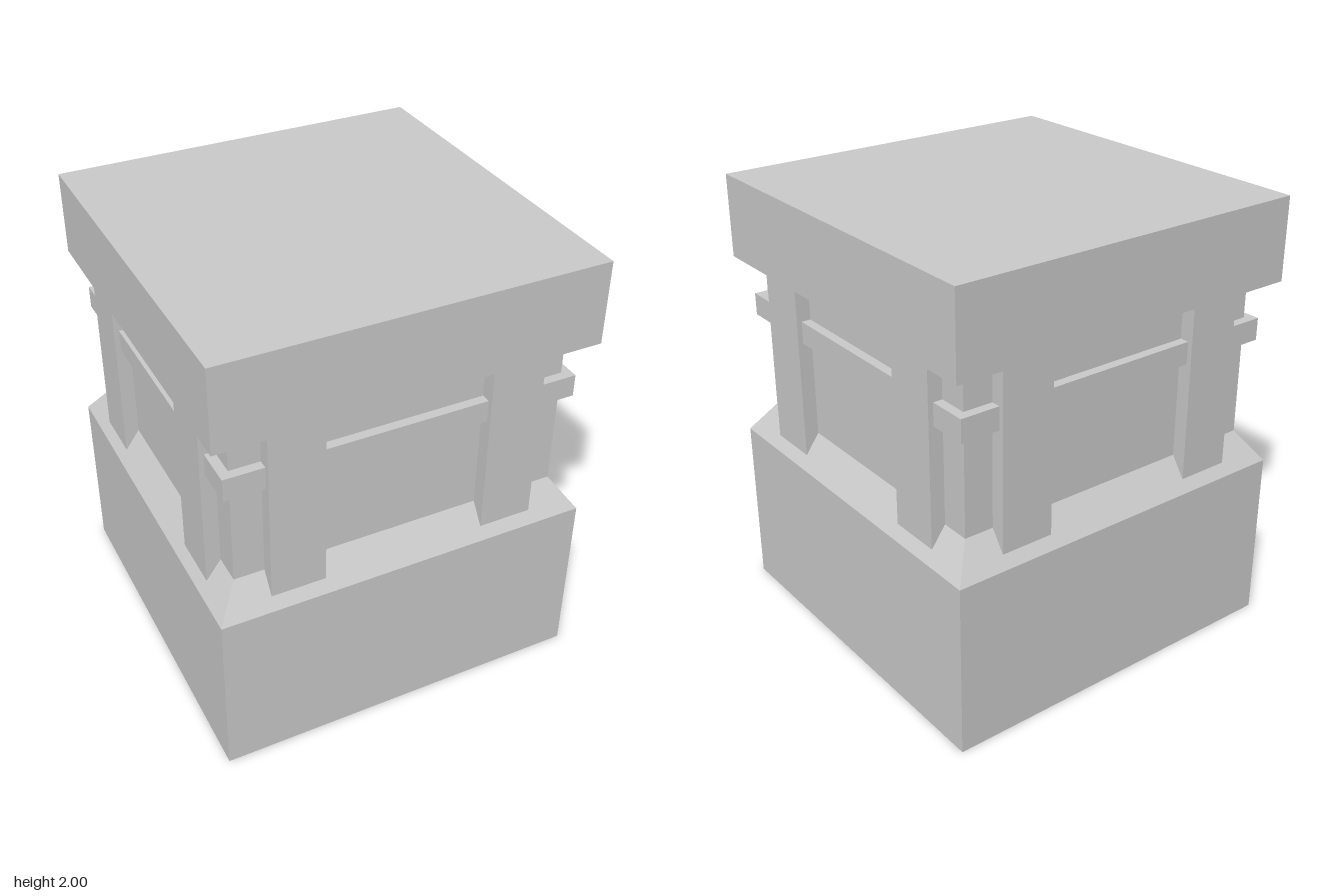
import * as THREE from 'three';

const material = new THREE.MeshStandardMaterial({ color: 0xcccccc, flatShading: true });

function addPart(parent, name, geometry, x, y, z) {
  const mesh = new THREE.Mesh(geometry, material);
  mesh.name = name;
  mesh.position.set(x, y, z);
  parent.add(mesh);
}

// Square block centred on the axis, between two heights
function addBlock(parent, name, half, bottom, top) {
  const geometry = new THREE.BoxGeometry(half * 2, top - bottom, half * 2);
  addPart(parent, name, geometry, 0, (bottom + top) / 2, 0);
}

export function createModel() {
  const model = new THREE.Group();
  model.name = 'pedestal';

  addBlock(model, 'base', 0.835, 0, 0.78);

  // Sloped shoulder between base and core
  const shoulder = new THREE.CylinderGeometry(0.735 * Math.SQRT2, 0.835 * Math.SQRT2, 0.14, 4, 1, true);
  shoulder.rotateY(Math.PI / 4);
  addPart(model, 'shoulder', shoulder, 0, 0.85, 0);

  addBlock(model, 'core', 0.735, 0.92, 1.63);
  addBlock(model, 'railBand', 0.777, 1.36, 1.46);
  addBlock(model, 'cap', 0.835, 1.63, 2);

  // Two upright posts on each of the four sides
  for (let i = 0; i < 4; i++) {
    const side = new THREE.Group();
    side.name = 'sidePosts';
    side.rotation.y = i * Math.PI / 2;
    for (const s of [-1, 1]) {
      addPart(side, 'post', new THREE.BoxGeometry(0.24, 0.8, 0.1), s * 0.483, 1.23, 0.75);
    }
    model.add(side);
  }
  return model;
}
